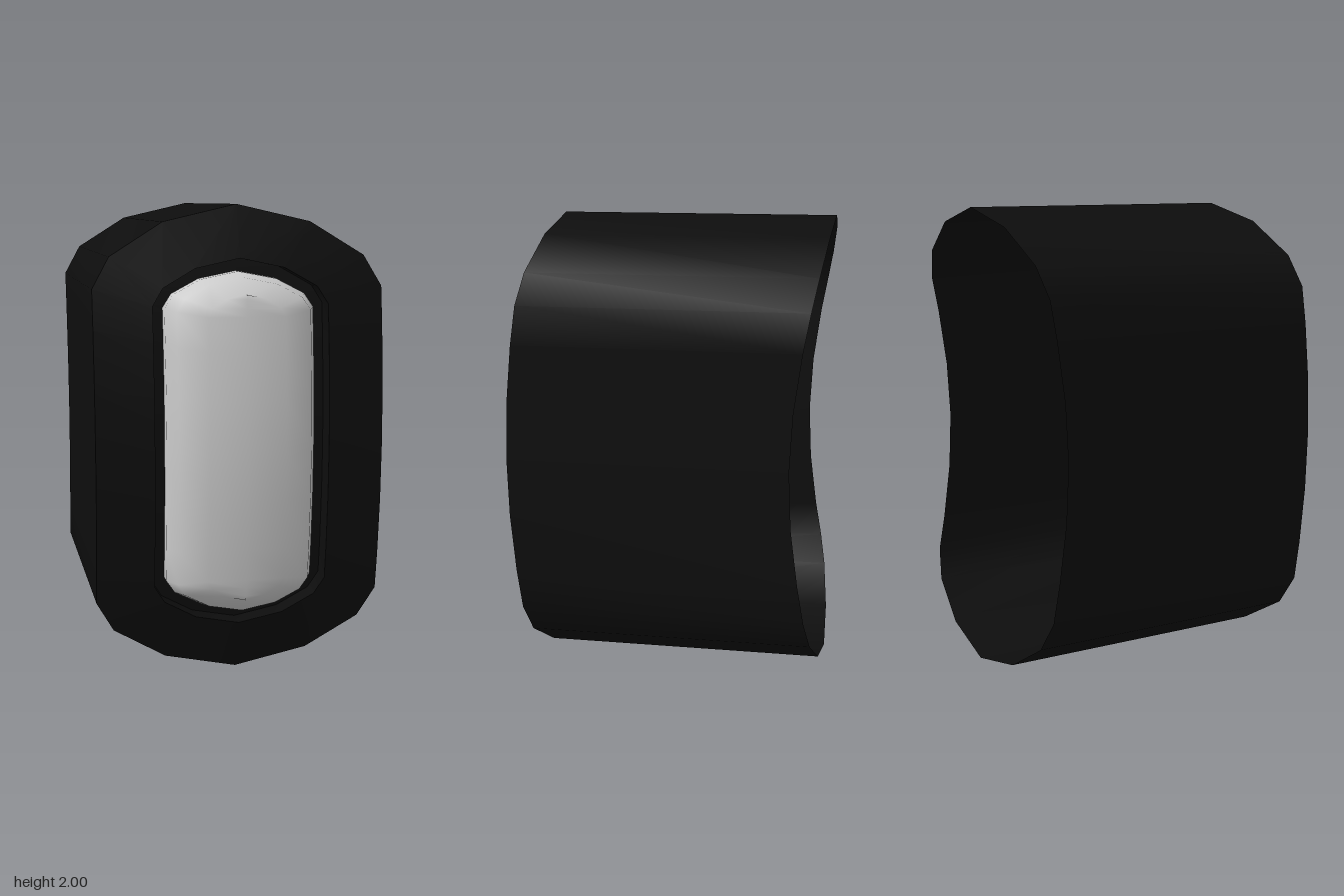
import * as THREE from 'three';
import { mergeVertices } from 'three/addons/utils/BufferGeometryUtils.js';

// Faceted obround outline, clockwise from the top: half-width, half-height, cap height
function outline(hw, hh, cap) {
  const s = hh - cap;
  const quarter = [[0, hh], [0.51 * hw, hh - 0.21 * cap], [0.88 * hw, hh - 0.62 * cap],
    [hw, s], [hw, 0.75 * s], [hw, 0.375 * s]];
  const flip = (list, sx, sy) => list.map(([x, y]) => [x * sx, y * sy]);
  const right = [...quarter, [hw, 0], ...flip(quarter, 1, -1).reverse()];
  return [...right, ...flip(right.slice(1, -1), -1, 1).reverse()];
}

// Skin between rings ordered back to front; each ring = { hw, hh, cap, z(d) }, d = height from the middle
function loft(rings) {
  const pos = [], index = [];
  let n = 0;
  for (const r of rings) {
    const pts = outline(r.hw, r.hh, r.cap);
    n = pts.length;
    for (const [x, y] of pts) pos.push(x, y + 1, r.z(y));
  }
  for (let k = 0; k < rings.length - 1; k++) {
    for (let i = 0; i < n; i++) {
      const j = (i + 1) % n;
      const a = k * n + i, b = k * n + j, c = a + n, d = b + n;
      index.push(a, c, b, b, c, d);
    }
  }
  let g = new THREE.BufferGeometry();
  g.setAttribute('position', new THREE.Float32BufferAttribute(pos, 3));
  g.setIndex(index);
  g = mergeVertices(g);
  g.computeVertexNormals();
  return g;
}

export function createModel() {
  const model = new THREE.Group();
  const black = new THREE.MeshStandardMaterial({ color: 0x0d0d0d, side: THREE.DoubleSide });
  const grey = new THREE.MeshStandardMaterial({ color: 0xcccccc });

  const add = (name, rings, material) => {
    const mesh = new THREE.Mesh(loft(rings), material);
    mesh.name = name;
    model.add(mesh);
  };

  // Bowed front surfaces and the saddle-shaped rear edge
  const bow = (z0) => (d) => z0 - 0.125 * d * d;
  const rear = (d) => -0.6 - 0.2 * d * d + 0.065 * d ** 4;

  const outer = { hw: 0.612, hh: 1, cap: 0.34 };
  const hole = { hw: 0.37, hh: 0.78, cap: 0.19 };
  const back = { ...outer, z: rear };
  const rim = { ...outer, z: bow(0.6) };
  const lip = { ...hole, z: bow(0.628) };
  const floorEdge = { ...hole, z: bow(0.53) };

  // Thin housing, open at the rear
  add('housingWall', [back, rim], black);
  add('frontBezel', [rim, lip], black);
  add('recessWall', [lip, floorEdge], black);
  add('recessFloor', [floorEdge, { ...floorEdge, hw: 0 }], black);

  // Pillowed push button; the last ring closes to a centre line
  add('button', [
    { hw: 0.315, hh: 0.725, cap: 0.148, z: bow(0.53) },
    { hw: 0.315, hh: 0.725, cap: 0.148, z: bow(0.585) },
    { hw: 0.28, hh: 0.705, cap: 0.135, z: bow(0.677) },
    { hw: 0.16, hh: 0.64, cap: 0.09, z: bow(0.727) },
    { hw: 0, hh: 0.64, cap: 0.09, z: bow(0.735) },
  ], grey);

  return model;
}
